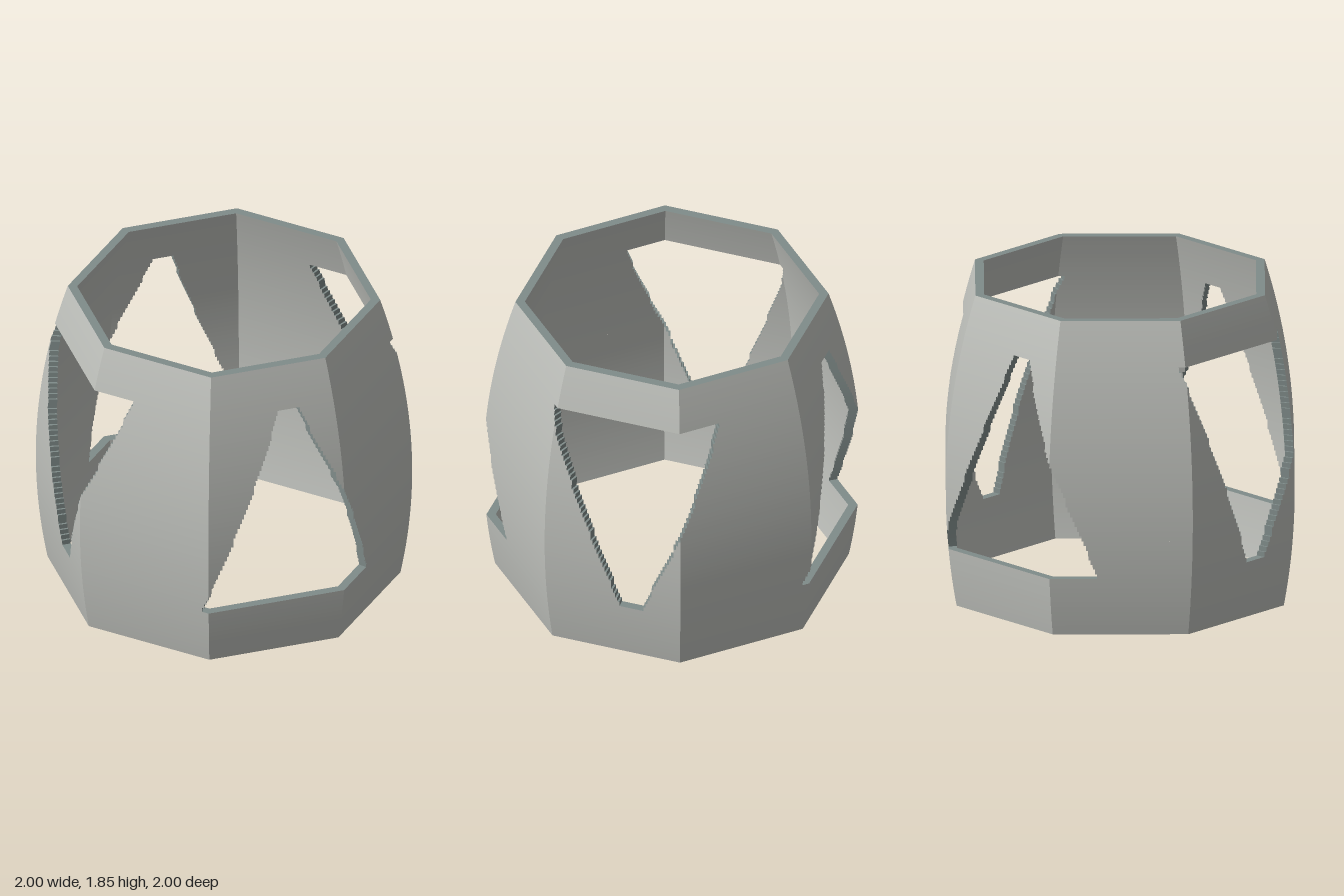
import * as THREE from 'three';

// Octagonal barrel shell laid out as rows (up) by columns (around)
const HEIGHT = 1.85, ROWS = 64, COLS = 512, FACET = COLS / 8, WALL = 0.05;
const HOLE_LOW = 12, HOLE_HIGH = 55;

// bulging profile: distance from the axis to the middle of a flat side
const apothem = (y) => 1 - 0.1277 * (y - 0.697) ** 2;

function point(col, row, inset) {
  const y = (row / ROWS) * HEIGHT;
  const angle = (col / COLS) * Math.PI * 2;
  const middle = (Math.round(col / FACET) / 8) * Math.PI * 2;
  const r = (apothem(y) - inset) / Math.cos(angle - middle);
  return [r * Math.sin(angle), y, r * Math.cos(angle)];
}
const outer = (col, row) => point(col, row, 0);
const inner = (col, row) => point(col, row, WALL);

// four stepped triangular openings, alternately pointing up and down
function isHole(col, row) {
  if (row < HOLE_LOW || row >= HOLE_HIGH) return false;
  const t = (row + 0.5 - HOLE_LOW) / (HOLE_HIGH - HOLE_LOW);
  for (let k = 0; k < 4; k++) {
    const half = THREE.MathUtils.lerp(44.5, 5.5, k % 2 ? 1 - t : t);
    const offset = THREE.MathUtils.euclideanModulo(col + 0.5 - 9 - k * 128 + 256, COLS) - 256;
    if (Math.abs(offset) < half) return true;
  }
  return false;
}
const isSolid = (col, row) => row >= 0 && row < ROWS && !isHole(col, row);

// calls emit(start, end) for each run of columns passing the test, split at facet corners
function eachRun(test, emit) {
  const first = FACET / 2;
  let start = -1;
  for (let i = first; i <= first + COLS; i++) {
    const corner = i % FACET === FACET / 2;
    const on = i < first + COLS && test(i);
    if (start >= 0 && (!on || corner)) {
      emit(start, i);
      start = -1;
    }
    if (on && start < 0) start = i;
  }
}

function quad(list, a, b, c, d) {
  list.push(...a, ...b, ...c, ...a, ...c, ...d);
}

function makeMesh(name, positions, material) {
  const geometry = new THREE.BufferGeometry();
  geometry.setAttribute('position', new THREE.Float32BufferAttribute(positions, 3));
  geometry.computeVertexNormals();
  const mesh = new THREE.Mesh(geometry, material);
  mesh.name = name;
  return mesh;
}

export function createModel() {
  const wallMaterial = new THREE.MeshStandardMaterial({ color: 0xbfc1bc });
  wallMaterial.name = 'pale grey wall';
  const edgeMaterial = new THREE.MeshStandardMaterial({ color: 0x808c8a });
  edgeMaterial.name = 'blue grey edge';

  const outside = [], inside = [], rims = [], jambs = [];

  for (let j = 0; j < ROWS; j++) {
    // wall faces
    eachRun((i) => isSolid(i, j), (a, b) => {
      quad(outside, outer(a, j), outer(b, j), outer(b, j + 1), outer(a, j + 1));
      quad(inside, inner(b, j), inner(a, j), inner(a, j + 1), inner(b, j + 1));
    });
    // upward faces: top rim, sills and steps
    eachRun((i) => isSolid(i, j) && !isSolid(i, j + 1), (a, b) => {
      quad(rims, outer(a, j + 1), outer(b, j + 1), inner(b, j + 1), inner(a, j + 1));
    });
    // downward faces: bottom rim, lintels and steps
    eachRun((i) => isSolid(i, j) && !isSolid(i, j - 1), (a, b) => {
      quad(rims, inner(a, j), inner(b, j), outer(b, j), outer(a, j));
    });
    // upright sides of the openings
    for (let i = 0; i < COLS; i++) {
      const here = isSolid(i, j), next = isSolid(i + 1, j), c = i + 1;
      if (here && !next) quad(jambs, outer(c, j), inner(c, j), inner(c, j + 1), outer(c, j + 1));
      if (!here && next) quad(jambs, inner(c, j), outer(c, j), outer(c, j + 1), inner(c, j + 1));
    }
  }

  const group = new THREE.Group();
  group.name = 'octagonalRing';
  group.add(
    makeMesh('outerWall', outside, wallMaterial),
    makeMesh('innerWall', inside, wallMaterial),
    makeMesh('rimsAndSteps', rims, edgeMaterial),
    makeMesh('openingSides', jambs, edgeMaterial),
  );
  return group;
}
